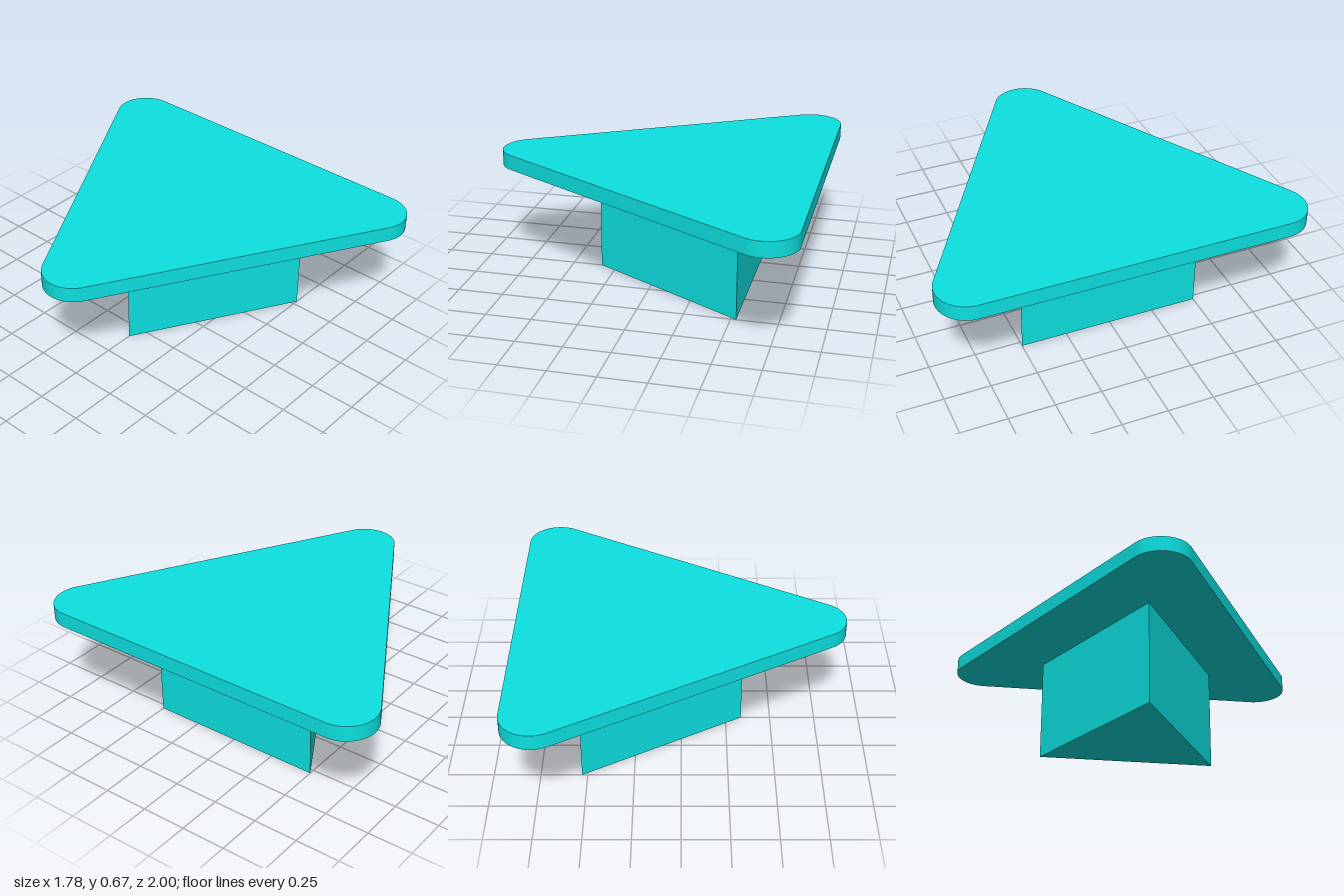
import * as THREE from 'three';
import { toCreasedNormals } from 'three/addons/utils/BufferGeometryUtils.js';

const CENTRE_X = 0.2406; // shared centroid of both triangles
const BASE_HEIGHT = 0.583;
const PLATE_THICKNESS = 0.084;

// Equilateral triangle pointing to -x, each corner rounded by an arc
function roundedTriangle(cornerDistance, radius) {
  const shape = new THREE.Shape();
  for (const angle of [Math.PI / 3, Math.PI, (5 * Math.PI) / 3]) {
    shape.absarc(
      cornerDistance * Math.cos(angle), cornerDistance * Math.sin(angle),
      radius, angle - Math.PI / 3, angle + Math.PI / 3, false
    );
  }
  return shape;
}

export function createModel() {
  const model = new THREE.Group();
  const material = new THREE.MeshStandardMaterial({ color: 0x0de0e0 });

  const add = (name, geometry, y) => {
    const mesh = new THREE.Mesh(toCreasedNormals(geometry, 0.5), material);
    mesh.name = name;
    mesh.position.set(CENTRE_X, y, 0);
    model.add(mesh);
  };

  // Sharp-edged triangular prism foot
  const foot = new THREE.CylinderGeometry(0.5774, 0.5774, BASE_HEIGHT, 3, 1, false, -Math.PI / 2);
  add('base', foot, BASE_HEIGHT / 2);

  // Thin rounded triangular top plate
  const plate = new THREE.ExtrudeGeometry(roundedTriangle(0.9623, 0.1667), {
    depth: PLATE_THICKNESS, bevelEnabled: false, curveSegments: 20,
  });
  plate.rotateX(-Math.PI / 2);
  add('topPlate', plate, BASE_HEIGHT);

  return model;
}
